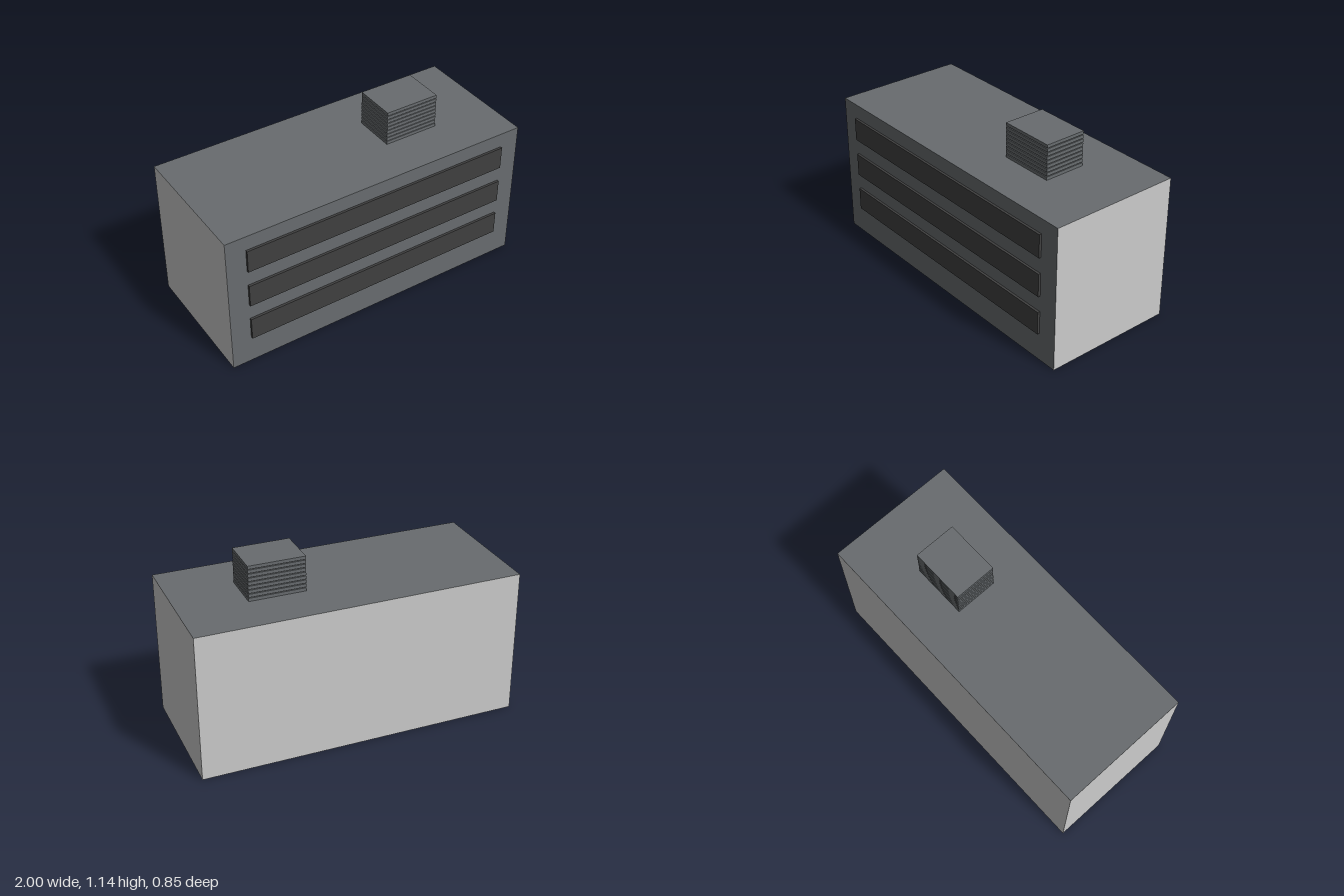
import * as THREE from 'three';

const material = (name, color) => {
  const m = new THREE.MeshStandardMaterial({ color });
  m.name = name;
  return m;
};

export function createModel() {
  const model = new THREE.Group();
  model.name = 'officeBuilding';

  const slate = material('slate', 0x686c6f);
  const paleWall = material('paleWall', 0xcccccc);
  const windowGlass = material('windowGlass', 0x404040);
  const underside = material('underside', 0x282828);

  // Box given by its lower and upper limits on each axis
  const addBox = (name, [x0, x1], [y0, y1], [z0, z1], mat) => {
    const mesh = new THREE.Mesh(new THREE.BoxGeometry(x1 - x0, y1 - y0, z1 - z0), mat);
    mesh.name = name;
    mesh.position.set((x0 + x1) / 2, (y0 + y1) / 2, (z0 + z1) / 2);
    model.add(mesh);
  };

  // Main block: pale sides and back, slate roof and front
  addBox('mainBlock', [-1, 1], [0, 0.92], [-0.425, 0.41],
    [paleWall, paleWall, slate, underside, slate, paleWall]);

  // Three long window bands, one per floor
  for (let i = 0; i < 3; i++) {
    const y = 0.18 + i * 0.25;
    addBox(`windowBand${i + 1}`, [-0.875, 0.875], [y, y + 0.147], [0.41, 0.425], windowGlass);
  }

  // Rooftop vent: stacked slats with narrow open gaps
  for (let i = 0; i < 9; i++) {
    const y = 0.922 + i * 0.025;
    addBox(`ventSlat${i + 1}`, [0.24, 0.59], [y, y + 0.02], [-0.14, 0.127], slate);
  }

  return model;
}
